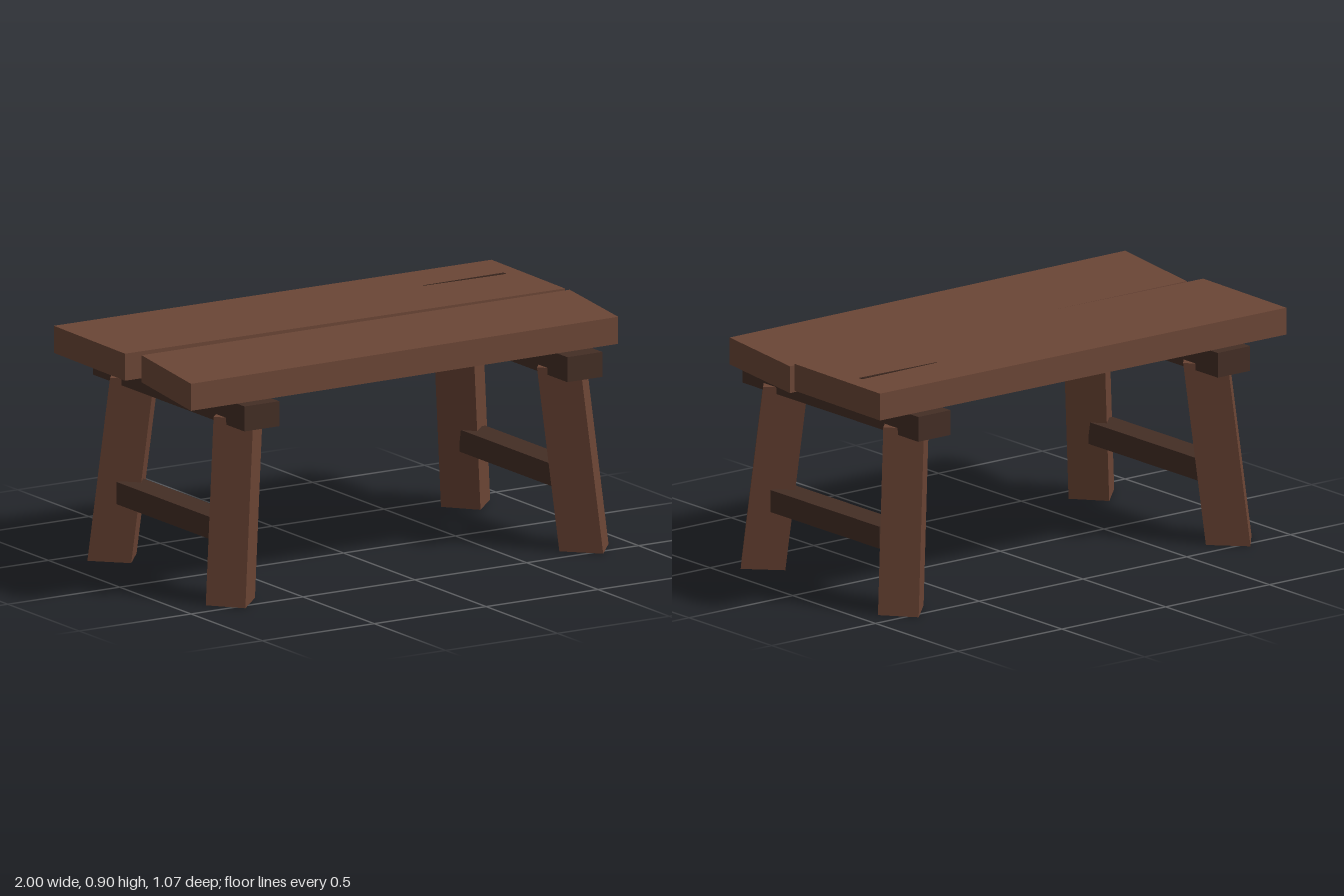
import * as THREE from 'three';

const plankWood = new THREE.MeshStandardMaterial({ color: 0x6b4636 });
plankWood.name = 'plank wood';
const legWood = new THREE.MeshStandardMaterial({ color: 0x6a4434 });
legWood.name = 'leg wood';
const darkWood = new THREE.MeshStandardMaterial({ color: 0x442e25 });
darkWood.name = 'dark wood';
const crackShade = new THREE.MeshStandardMaterial({ color: 0x38251d });
crackShade.name = 'crack shade';

export function createModel() {
  const model = new THREE.Group();
  model.name = 'table';

  const add = (name, geometry, material) => {
    const mesh = new THREE.Mesh(geometry, material);
    mesh.name = name;
    model.add(mesh);
  };

  // Flat slab from an outline of [x, z] corners, between two heights
  const slab = (name, corners, y0, y1, material) => {
    const shape = new THREE.Shape(corners.map(([x, z]) => new THREE.Vector2(x, -z)));
    const g = new THREE.ExtrudeGeometry(shape, { depth: y1 - y0, bevelEnabled: false });
    g.rotateX(-Math.PI / 2).translate(0, y0, 0);
    add(name, g, material);
  };

  // Tabletop: two roughly sawn planks
  slab('backPlank', [[-0.97, -0.01], [0.98, 0.015], [0.99, -0.515], [-0.96, -0.525]], 0.795, 0.9, plankWood);
  slab('frontPlank', [[-1, 0.5], [0.925, 0.475], [1, 0.017], [-0.915, 0.02]], 0.788, 0.893, plankWood);

  // Thin wedge-shaped split in the back plank
  slab('crack', [[0.55, -0.307], [0.915, -0.297], [0.915, -0.314]], 0.899, 0.902, crackShade);

  // Four-sided leg set corner-on, leaning in toward the top, cut level at both ends
  const height = 0.712;
  const leg = (name, bottomX, topX, side, end) => {
    const g = new THREE.CylinderGeometry(1, 1, height, 4).toNonIndexed();
    g.scale(0.11, 1, 0.12).translate(0, height / 2, 0);
    const p = g.attributes.position;
    for (let i = 0; i < p.count; i++) {
      const t = p.getY(i) / height;
      const z = p.getZ(i);
      p.setX(i, p.getX(i) + 0.08 * z * side * end + THREE.MathUtils.lerp(bottomX, topX, t));
      p.setZ(i, z + end * THREE.MathUtils.lerp(0.415, 0.363, t));
    }
    g.computeVertexNormals();
    add(name, g, legWood);
  };

  // Each trestle: cross beam, stretcher and two legs
  const trestles = [
    { name: 'left', side: 1, beamX: 0.74, barX: 0.787, bottomX: 0.81, topX: 0.743 },
    { name: 'right', side: -1, beamX: -0.703, barX: -0.747, bottomX: -0.77, topX: -0.702 },
  ];
  for (const { name, side, beamX, barX, bottomX, topX } of trestles) {
    add(`${name}Beam`, new THREE.BoxGeometry(0.156, 0.097, 1.062).translate(beamX, 0.734, 0), darkWood);
    add(`${name}Stretcher`, new THREE.BoxGeometry(0.115, 0.086, 0.66).translate(barX, 0.271, 0), darkWood);
    leg(`${name}FrontLeg`, bottomX, topX, side, 1);
    leg(`${name}BackLeg`, bottomX, topX, side, -1);
  }

  return model;
}
